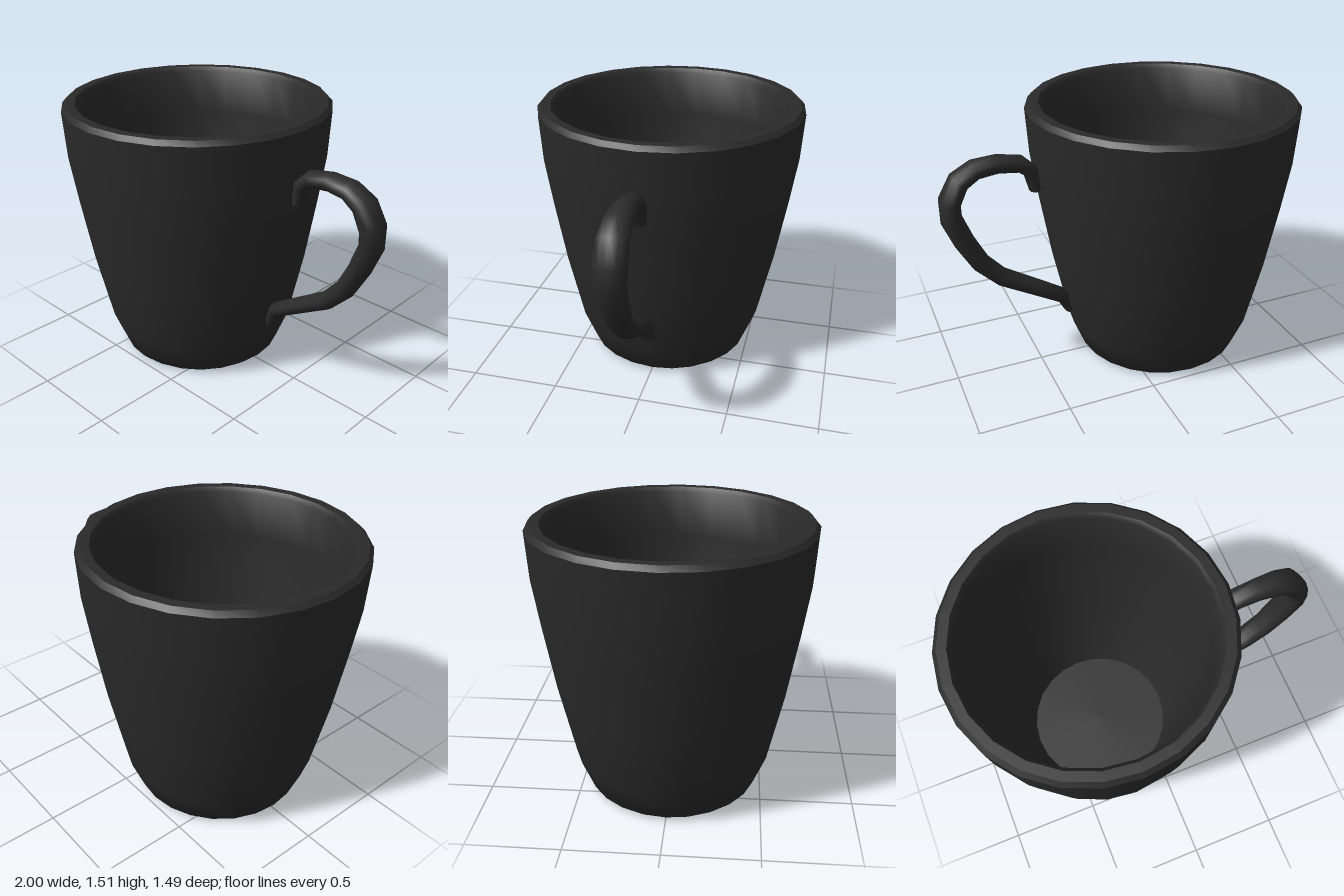
import * as THREE from 'three';
import { toCreasedNormals } from 'three/addons/utils/BufferGeometryUtils.js';

// Sweeps ellipses along a path in the XY plane.
// Each station is [x, y, half thickness in plane, half width in z].
function sweepEllipses(stations, sides) {
  const positions = [], index = [];
  const last = stations.length - 1;
  stations.forEach(([x, y, thick, wide], i) => {
    const a = stations[Math.max(i - 1, 0)], b = stations[Math.min(i + 1, last)];
    const dir = new THREE.Vector2(b[0] - a[0], b[1] - a[1]).normalize();
    for (let j = 0; j < sides; j++) {
      const t = (j / sides) * Math.PI * 2;
      const c = Math.cos(t) * thick;
      positions.push(x - dir.y * c, y + dir.x * c, Math.sin(t) * wide);
    }
  });
  for (let i = 0; i < last; i++) {
    for (let j = 0; j < sides; j++) {
      const k = (j + 1) % sides;
      const a = i * sides + j, b = i * sides + k;
      index.push(a, b, a + sides, b, b + sides, a + sides);
    }
  }
  // flat end caps
  const end = last * sides;
  for (let j = 1; j < sides - 1; j++) {
    index.push(0, j + 1, j, end, end + j, end + j + 1);
  }
  const geometry = new THREE.BufferGeometry();
  geometry.setAttribute('position', new THREE.Float32BufferAttribute(positions, 3));
  geometry.setIndex(index);
  geometry.computeVertexNormals();
  return geometry;
}

export function createModel() {
  const group = new THREE.Group();
  group.name = 'mug';
  const material = new THREE.MeshStandardMaterial({ color: 0x2a2a2a });

  // Cup: outside wall, bevelled rim, inside wall and floor in one profile
  const profile = [
    [0, 0], [0.445, 0], [0.475, 0.025], [0.545, 0.2], [0.63, 0.6],
    [0.69, 0.96], [0.73, 1.23], [0.745, 1.485], [0.722, 1.51],
    [0.672, 1.51], [0.652, 1.487], [0.638, 1.23], [0.6, 0.96],
    [0.54, 0.6], [0.455, 0.22], [0.41, 0.1], [0, 0.1],
  ].map(([r, y]) => new THREE.Vector2(r, y));
  const cup = new THREE.Mesh(
    toCreasedNormals(new THREE.LatheGeometry(profile, 24), 0.7), material);
  cup.name = 'cup';
  cup.position.x = -0.255;
  group.add(cup);

  // Handle: flattened tube, widest at the outer bend
  const stations = [
    [0.487, 1.1, 0.03, 0.052], [0.503, 1.205, 0.042, 0.058],
    [0.56, 1.255, 0.046, 0.06], [0.68, 1.273, 0.048, 0.064],
    [0.797, 1.262, 0.05, 0.074], [0.885, 1.21, 0.054, 0.083],
    [0.941, 1.105, 0.058, 0.087], [0.941, 1.005, 0.058, 0.083],
    [0.885, 0.862, 0.056, 0.077], [0.81, 0.722, 0.053, 0.071],
    [0.7, 0.607, 0.049, 0.067], [0.52, 0.5, 0.045, 0.061],
    [0.352, 0.4, 0.043, 0.056], [0.325, 0.31, 0.022, 0.052],
  ];
  const handle = new THREE.Mesh(
    toCreasedNormals(sweepEllipses(stations, 12), 0.95), material);
  handle.name = 'handle';
  group.add(handle);

  return group;
}
